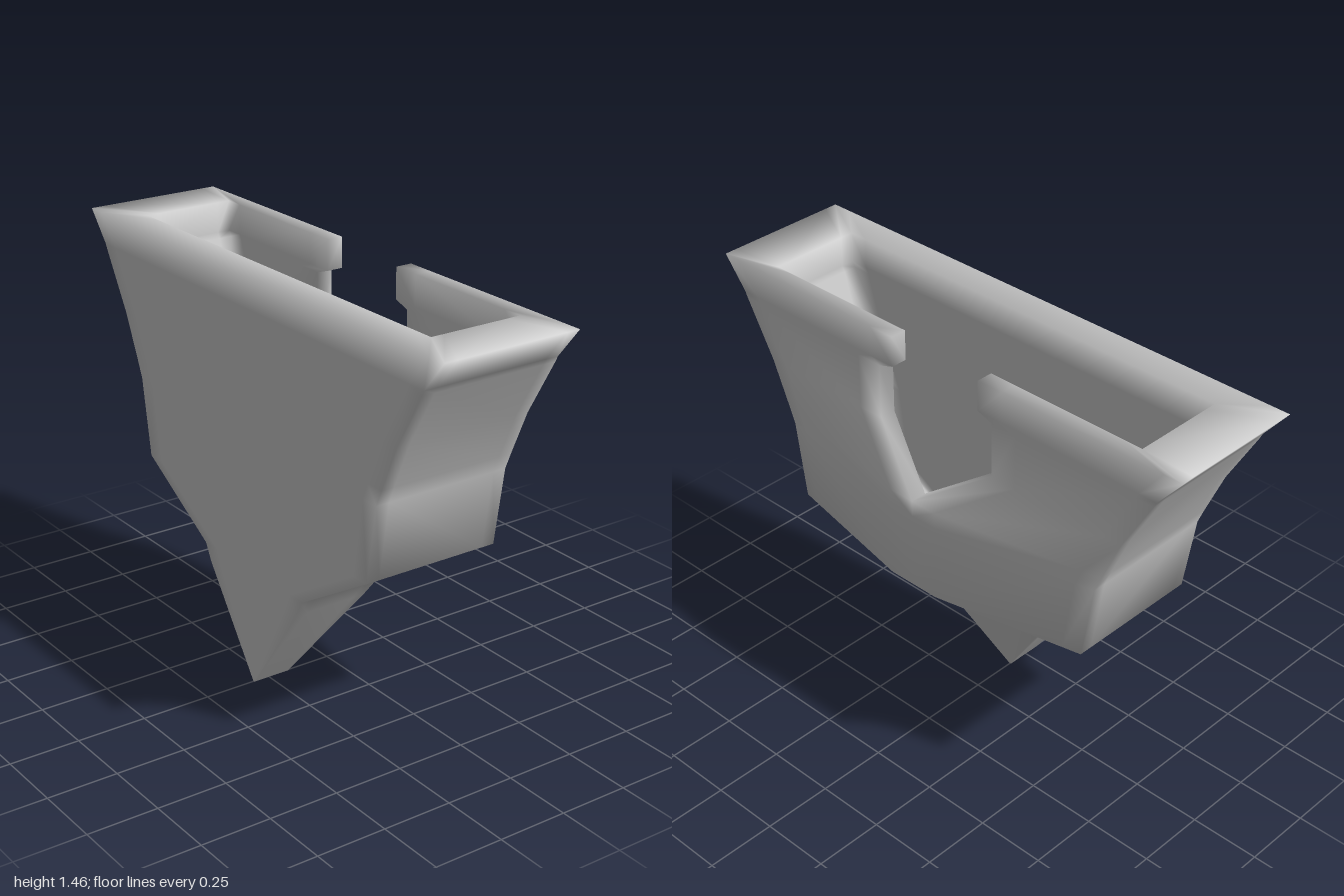
import * as THREE from 'three';
import { mergeVertices } from 'three/addons/utils/BufferGeometryUtils.js';

const FRONT = 0.31, INNER_FRONT = 0.2;

// Levels from rim to tip: y, notch half width, outer half width, back z at side, back z at centre,
// then the cavity's half width, back z at side and back z at centre
const LEVELS = [
  [1.46, 0.19, 1.00, -0.2, -0.2, 0.80, -0.14, -0.14],
  [1.35, 0.19, 0.91, -0.2, -0.2, 0.80, -0.14, -0.14],
  [1.33, 0.25, 0.90, -0.2, -0.2, 0.79, -0.14, -0.14],
  [1.13, 0.25, 0.785, -0.2, -0.2, 0.73, -0.14, -0.14],
  [0.97, 0, 0.715, -0.2, -0.31, 0.67, -0.14, -0.25],
  [0.91, 0, 0.69, -0.2, -0.31, 0.65, -0.14, -0.25],
  [0.63, 0, 0.645, -0.2, -0.31, 0.61, -0.14, -0.25],
  [0.42, 0, 0.29, 0, -0.05, 0.26, 0.07, -0.03],
];
const TIP = [
  [0.36, 0, 0.26, 0.035, -0.018],
  [0, 0, 0.004, 0.17, 0.17],
];

// Half cross-section: back centre (or notch edge), round the side, to front centre
function section(y, edge, width, zSide, zMid, zFront) {
  const k = Math.min(0.07, width * 0.25);
  const x1 = Math.min(edge + 0.1, edge * 0.6 + width * 0.4);
  const zNear = zSide + (zMid - zSide) * k / (width - x1);
  return [
    [edge, zMid], [x1, zMid], [width - k, zNear], [width, zSide],
    [width, zSide + k * 0.7], [width, zFront - k * 0.7], [width, zFront],
    [width - k, zFront], [0, zFront],
  ].map(([x, z]) => [x, y, z]);
}

// Collects triangles together with their mirror image across x = 0
function mirroredBuilder() {
  const pos = [];
  const tri = (a, b, c) => {
    pos.push(...a, ...b, ...c);
    for (const p of [a, c, b]) pos.push(-p[0], p[1], p[2]);
  };
  const quad = (a, b, c, d) => { tri(a, b, c); tri(b, d, c); };
  const build = () => {
    let g = new THREE.BufferGeometry();
    g.setAttribute('position', new THREE.Float32BufferAttribute(pos, 3));
    g = mergeVertices(g, 1e-4);
    g.computeVertexNormals();
    return g;
  };
  return { tri, quad, build };
}

export function createModel() {
  const group = new THREE.Group();
  const material = new THREE.MeshStandardMaterial({ color: 0xcccccc, side: THREE.DoubleSide });
  const add = (name, geometry) => {
    const mesh = new THREE.Mesh(geometry, material);
    mesh.name = name;
    group.add(mesh);
  };

  const outer = [...LEVELS, ...TIP].map(([y, e, w, zs, zc]) => section(y, e, w, zs, zc, FRONT));
  const inner = LEVELS.map(([y, e, , , , w, zs, zc]) => section(y, e, w, zs, zc, INNER_FRONT));
  const columns = outer[0].length - 1;
  const shell = mirroredBuilder();

  // Outer skin down to the pointed tip
  for (let i = 0; i < outer.length - 1; i++)
    for (let j = 0; j < columns; j++)
      shell.quad(outer[i][j], outer[i][j + 1], outer[i + 1][j], outer[i + 1][j + 1]);

  // Cavity walls, and the edges of the notch in the back wall
  for (let i = 0; i < inner.length - 1; i++) {
    for (let j = 0; j < columns; j++)
      shell.quad(inner[i][j + 1], inner[i][j], inner[i + 1][j + 1], inner[i + 1][j]);
    if (LEVELS[i][1] > 0)
      shell.quad(inner[i][0], outer[i][0], inner[i + 1][0], outer[i + 1][0]);
  }

  // Flat rim
  for (let j = 0; j < columns; j++)
    shell.quad(outer[0][j], inner[0][j], outer[0][j + 1], inner[0][j + 1]);
  add('shell', shell.build());

  // Cavity floor
  const floor = mirroredBuilder();
  const base = inner[inner.length - 1];
  for (let j = 0; j < columns - 1; j++) floor.tri(base[columns], base[j + 1], base[j]);
  add('cavityFloor', floor.build());

  return group;
}
